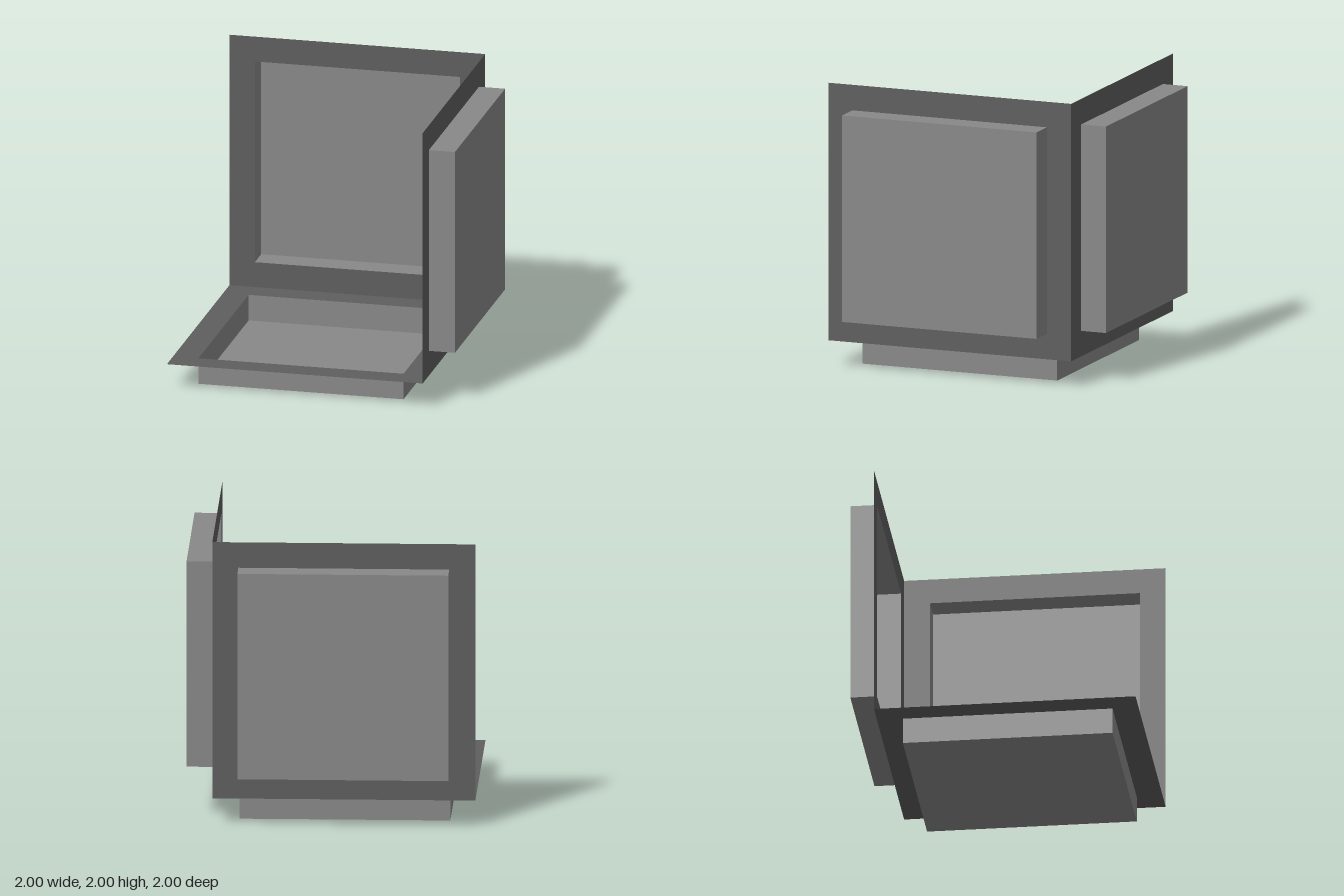
import * as THREE from 'three';
import { mergeGeometries } from 'three/addons/utils/BufferGeometryUtils.js';

const SIZE = 1.815;   // outer side of each square frame
const INNER = 1.455;  // side of the recessed tray
const DEPTH = 0.185;  // depth of the tray behind the frame

// Flat square border with a square opening, facing +z
function frameGeometry() {
  const h = SIZE / 2, i = INNER / 2;
  const shape = new THREE.Shape([[-h, -h], [h, -h], [h, h], [-h, h]].map(p => new THREE.Vector2(...p)));
  shape.holes.push(new THREE.Path([[-i, -i], [-i, i], [i, i], [i, -i]].map(p => new THREE.Vector2(...p))));
  return new THREE.ShapeGeometry(shape);
}

// Open tray: a floor and four walls, opening towards +z
function trayGeometry() {
  const parts = [new THREE.PlaneGeometry(INNER, INNER).translate(0, 0, -DEPTH)];
  for (let k = 0; k < 4; k++) {
    parts.push(new THREE.PlaneGeometry(INNER, DEPTH)
      .rotateX(-Math.PI / 2)
      .translate(0, -INNER / 2, -DEPTH / 2)
      .rotateZ(k * Math.PI / 2));
  }
  return mergeGeometries(parts);
}

export function createModel() {
  const darkGrey = new THREE.MeshStandardMaterial({ color: 0x5e5e5e, side: THREE.DoubleSide });
  darkGrey.name = 'dark grey';
  const midGrey = new THREE.MeshStandardMaterial({ color: 0x888888, side: THREE.DoubleSide });
  midGrey.name = 'mid grey';

  const frame = frameGeometry();
  const tray = trayGeometry();
  const model = new THREE.Group();
  model.name = 'cornerPanels';

  // Three identical panels meeting at one corner, openings facing inwards
  function addPanel(name, position, rotation) {
    const panel = new THREE.Group();
    panel.name = name;
    const border = new THREE.Mesh(frame, darkGrey);
    border.name = 'frame';
    const recess = new THREE.Mesh(tray, midGrey);
    recess.name = 'tray';
    panel.add(border, recess);
    panel.position.set(...position);
    panel.rotation.set(...rotation);
    model.add(panel);
  }
  const c = 1 - SIZE / 2; // offset of each panel's centre
  const edge = 1 - DEPTH; // plane of each frame
  addPanel('backPanel', [-c, 1 + c, -edge], [0, 0, 0]);
  addPanel('floorPanel', [-c, DEPTH, c], [-Math.PI / 2, 0, 0]);
  addPanel('leftPanel', [edge, 1 + c, c], [0, -Math.PI / 2, 0]);
  return model;
}
